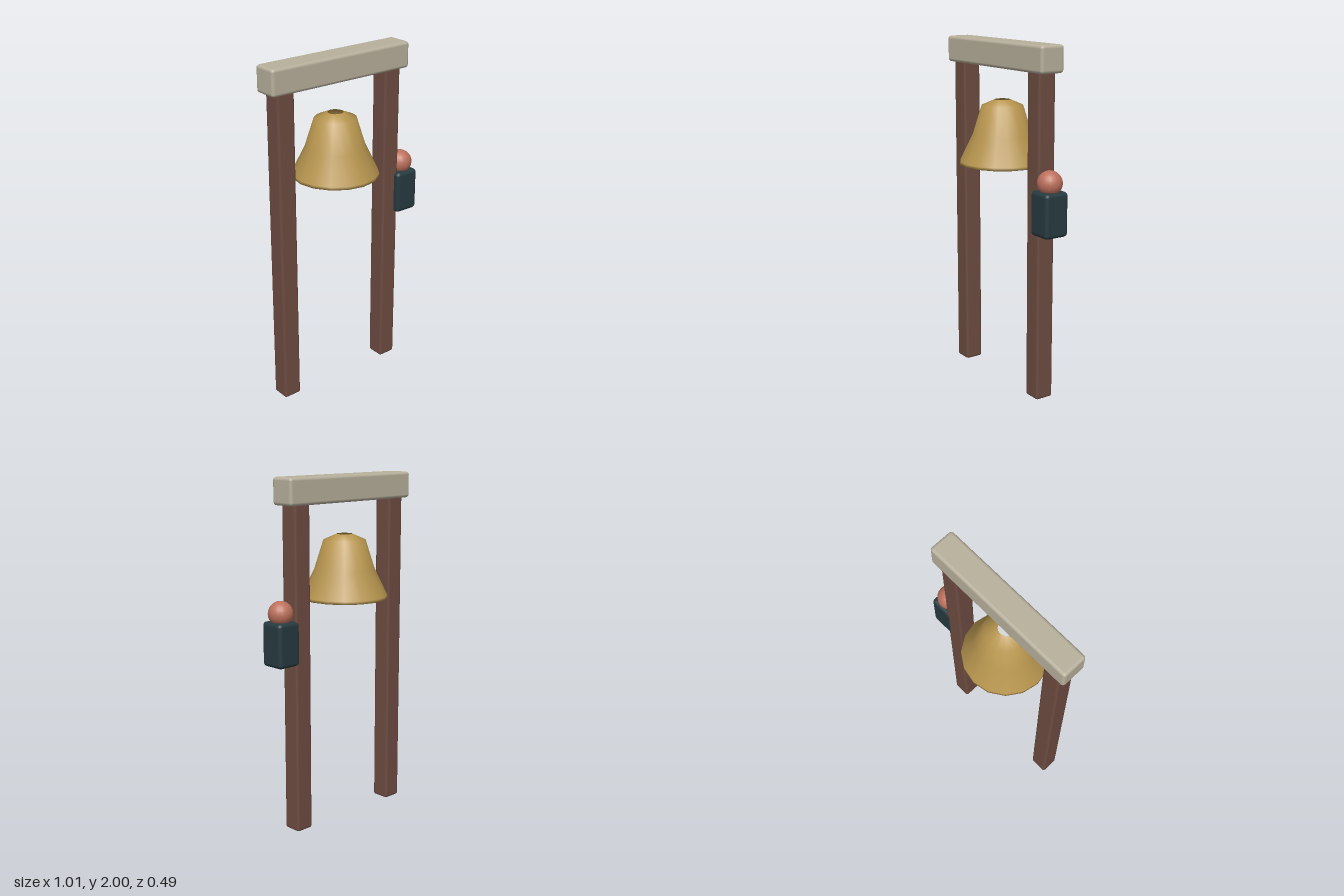
import * as THREE from 'three';
import { RoundedBoxGeometry } from 'three/addons/geometries/RoundedBoxGeometry.js';

const material = (name, color, side = THREE.FrontSide) => {
  const m = new THREE.MeshStandardMaterial({ color, side });
  m.name = name;
  return m;
};

export function createModel() {
  const group = new THREE.Group();
  const wood = material('brown wood', 0x6d4c41);
  const stone = material('pale beam', 0xb8b09c);
  const brass = material('brass', 0xb8964f, THREE.DoubleSide);
  const dark = material('dark slate', 0x263a40);
  const red = material('clay red', 0xbc705c);

  const add = (name, geometry, mat, x, y, z = 0) => {
    const mesh = new THREE.Mesh(geometry, mat);
    mesh.name = name;
    mesh.position.set(x, y, z);
    group.add(mesh);
    return mesh;
  };
  const box = (w, h, d, r) => new RoundedBoxGeometry(w, h, d, 2, r);

  // Frame: two posts and the beam across them
  add('rightPost', box(0.11, 1.87, 0.11, 0.014), wood, -0.408, 0.935);
  add('leftPost', box(0.11, 1.87, 0.11, 0.014), wood, 0.328, 0.935);
  add('beam', box(0.935, 0.15, 0.15, 0.018), stone, -0.038, 1.925);

  // Bell: hollow shell, inner wall down, round the lip, outer wall up to the open crown
  const profile = [
    [0.045, 1.664], [0.105, 1.62], [0.145, 1.47], [0.2, 1.35], [0.215, 1.305],
    [0.247, 1.303], [0.245, 1.32], [0.172, 1.47], [0.12, 1.635], [0.045, 1.668],
  ].map(([r, y]) => new THREE.Vector2(r, y));
  add('bell', new THREE.LatheGeometry(profile, 16), brass, -0.04, 0);

  // Clapper: stretched ball inside the mouth
  add('clapper', new THREE.SphereGeometry(0.04, 16, 12), dark, -0.04, 1.335).scale.y = 1.65;

  // Control box with its round lamp, on the side of the left post
  add('controlBox', box(0.15, 0.25, 0.15, 0.022), dark, 0.43, 1.102, 0.016);
  add('lamp', new THREE.SphereGeometry(0.07, 20, 14), red, 0.432, 1.27, 0.016);

  return group;
}
